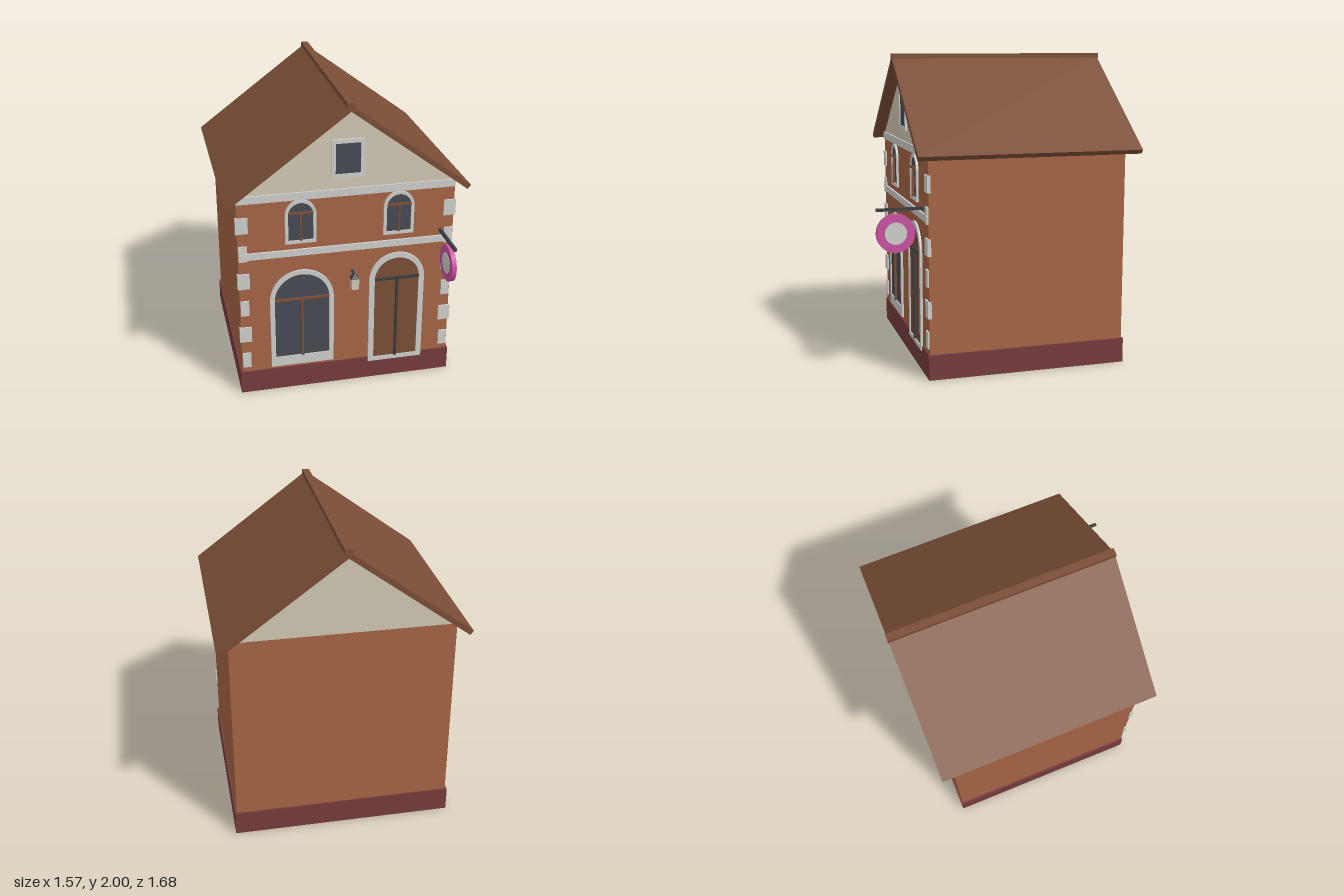
import * as THREE from 'three';

const mat = (name, color) => Object.assign(new THREE.MeshStandardMaterial({ color }), { name });

export function createModel() {
  const model = new THREE.Group();
  model.name = 'house';
  const brick = mat('brick', 0xa66544);
  const plinthRed = mat('plinth red', 0x773b3d);
  const brown = mat('brown wood', 0x7b4e37);
  const trim = mat('pale stone', 0xd0d0ce);
  const cream = mat('cream plaster', 0xd3c9b5);
  const glass = mat('dark glass', 0x474c53);
  const iron = mat('dark iron', 0x3a3d40);
  const pink = mat('sign pink', 0xcb52a2);

  const add = (name, geometry, material, parent = model) => {
    const mesh = new THREE.Mesh(geometry, material);
    mesh.name = name;
    parent.add(mesh);
    return mesh;
  };
  // Box given by its lower and upper limits on each axis
  const box = (name, material, x0, x1, y0, y1, z0, z1, parent) => {
    const mesh = add(name, new THREE.BoxGeometry(x1 - x0, y1 - y0, z1 - z0), material, parent);
    mesh.position.set((x0 + x1) / 2, (y0 + y1) / 2, (z0 + z1) / 2);
    return mesh;
  };
  // Shape in the front plane, extruded from z0 to z1
  const extrude = (name, material, shape, z0, z1, parent) => {
    const geometry = new THREE.ExtrudeGeometry(shape, { depth: z1 - z0, bevelEnabled: false, curveSegments: 16 });
    return add(name, geometry.translate(0, 0, z0), material, parent);
  };
  const polygon = (points) => new THREE.Shape(points.map(([x, y]) => new THREE.Vector2(x, y)));
  const arch = (x, y, spring, r) => {
    const s = new THREE.Shape();
    s.moveTo(x - r, y);
    s.lineTo(x + r, y);
    s.lineTo(x + r, spring);
    s.absarc(x, spring, r, 0, Math.PI, false);
    s.closePath();
    return s;
  };

  // Main body
  box('plinth', plinthRed, -0.717, 0.717, 0, 0.16, -0.76, 0.542);
  box('walls', brick, -0.705, 0.705, 0.16, 1.42, -0.75, 0.535);
  extrude('gable', cream, polygon([[-0.705, 1.42], [0.705, 1.42], [0, 1.945]]), -0.75, 0.535);

  // Roof slabs and ridge
  for (const s of [-1, 1]) {
    const pts = [[0, 1.945], [0.762, 1.378], [0.783, 1.405], [0, 1.987]].map(([x, y]) => [s * x, y]);
    extrude(s < 0 ? 'roofRight' : 'roofLeft', brown, polygon(pts), -0.835, 0.612);
  }
  box('ridge', brown, -0.024, 0.024, 1.965, 2, -0.84, 0.615);

  // Horizontal bands
  box('eavesBand', trim, -0.705, 0.705, 1.375, 1.425, 0.52, 0.546);
  box('stringBand', trim, -0.7, 0.61, 0.99, 1.035, 0.52, 0.548);
  box('stringBandEnd', trim, 0.61, 0.7, 0.99, 1.035, 0.52, 0.548);

  // Corner stones, alternating narrow and wide
  for (const s of [-1, 1]) {
    for (let i = 0; i < 6; i++) {
      const wide = i % 2 === 1;
      const inner = wide ? 0.635 : 0.645;
      const outer = wide ? 0.714 : 0.7;
      const y = 0.198 + i * 0.1955;
      box('cornerStone', trim, Math.min(s * inner, s * outer), Math.max(s * inner, s * outer), y, y + 0.108, 0.522, 0.545);
    }
  }

  // Arched openings: stone surround, panel, crossbar and upright
  const opening = (name, x, y0, y1, spring, barY, rOut, rIn, panelMat, barMat, bar) => {
    const group = new THREE.Group();
    group.name = name;
    model.add(group);
    const surround = arch(x, y0, spring, rOut);
    surround.holes.push(arch(x, y1, spring, rIn));
    extrude('surround', trim, surround, 0.525, 0.549, group);
    extrude('panel', panelMat, arch(x, y1, spring, rIn), 0.534, 0.542, group);
    box('crossbar', barMat, x - rIn, x + rIn, barY - bar, barY + bar, 0.54, 0.558, group);
    box('upright', barMat, x - bar, x + bar, y1, barY, 0.54, 0.558, group);
  };
  opening('shopWindow', -0.3, 0.18, 0.25, 0.675, 0.678, 0.21, 0.18, glass, brown, 0.007);
  opening('door', 0.335, 0.13, 0.16, 0.755, 0.758, 0.186, 0.15, brown, iron, 0.007);
  for (const x of [-0.302, 0.335]) {
    opening('upperWindow', x, 1.078, 1.1, 1.275, 1.288, 0.1, 0.08, glass, brown, 0.006);
  }

  // Attic window
  const attic = polygon([[-0.106, 1.5], [0.106, 1.5], [0.106, 1.75], [-0.106, 1.75]]);
  attic.holes.push(polygon([[-0.08, 1.525], [0.08, 1.525], [0.08, 1.725], [-0.08, 1.725]]));
  extrude('atticFrame', trim, attic, 0.525, 0.549);
  box('atticGlass', glass, -0.08, 0.08, 1.525, 1.725, 0.534, 0.542);

  // Wall lantern
  const lantern = new THREE.Group();
  lantern.name = 'lantern';
  model.add(lantern);
  box('lanternBody', cream, 0.011, 0.059, 0.745, 0.822, 0.581, 0.629, lantern);
  box('lanternArm', iron, 0.028, 0.042, 0.832, 0.846, 0.53, 0.61, lantern);
  const cap = add('lanternCap', new THREE.ConeGeometry(0.041, 0.032, 4).toNonIndexed(), iron, lantern);
  cap.geometry.computeVertexNormals();
  cap.rotation.y = Math.PI / 4;
  cap.position.set(0.035, 0.837, 0.605);

  // Hanging round sign
  const sign = new THREE.Group();
  sign.name = 'hangingSign';
  model.add(sign);
  box('signRod', iron, 0.611, 0.629, 1.063, 1.081, 0.53, 0.842, sign);
  const disc = (name, r, width, material) => {
    const mesh = add(name, new THREE.CylinderGeometry(r, r, width, 32), material, sign);
    mesh.rotation.z = Math.PI / 2;
    mesh.position.set(0.62, 0.925, 0.722);
  };
  disc('signDisc', 0.12, 0.03, pink);
  disc('signCentre', 0.069, 0.034, trim);

  return model;
}
